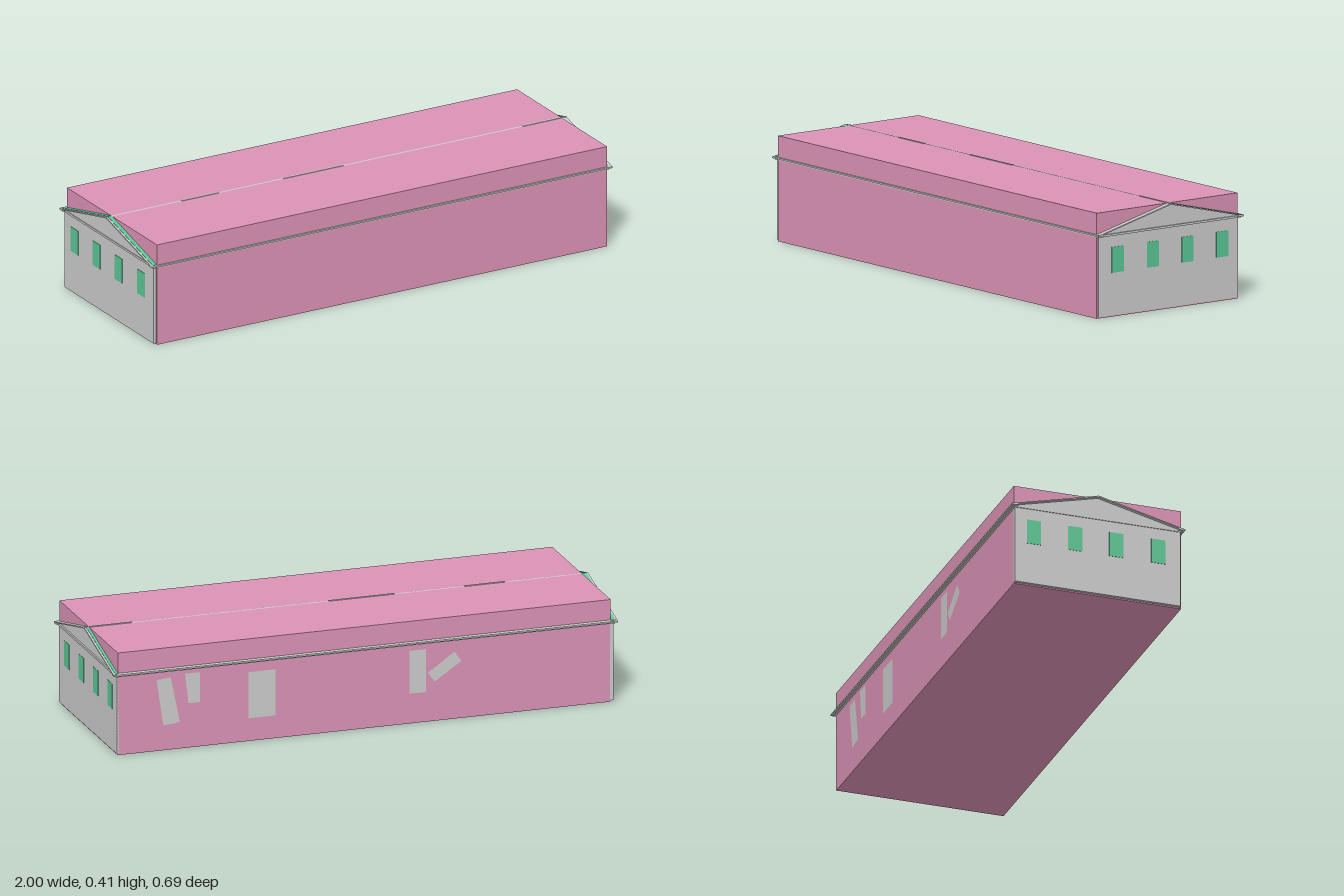
import * as THREE from 'three';

export function createModel() {
  const model = new THREE.Group();
  const grey = new THREE.MeshStandardMaterial({ color: 0xcccccc, side: THREE.DoubleSide });
  const pink = new THREE.MeshStandardMaterial({ color: 0xda92b5 });
  const green = new THREE.MeshStandardMaterial({ color: 0x5bc695, side: THREE.DoubleSide });

  const add = (name, geometry, material) => {
    const mesh = new THREE.Mesh(geometry, material);
    mesh.name = name;
    model.add(mesh);
    return mesh;
  };
  // box given by its limits on each axis
  const box = (name, [x0, x1], [y0, y1], [z0, z1], material) => {
    const mesh = add(name, new THREE.BoxGeometry(x1 - x0, y1 - y0, z1 - z0), material);
    mesh.position.set((x0 + x1) / 2, (y0 + y1) / 2, (z0 + z1) / 2);
    return mesh;
  };
  // outline in (z, y), extruded along x
  const profile = (name, points, x0, x1, material) => {
    const shape = new THREE.Shape(points.map(([z, y]) => new THREE.Vector2(-z, y)));
    const geometry = new THREE.ExtrudeGeometry(shape, { depth: x1 - x0, bevelEnabled: false });
    geometry.rotateY(Math.PI / 2).translate(x0, 0, 0);
    return add(name, geometry, material);
  };

  // solid block filling the building
  box('bodyBlock', [-0.975, 0.98], [0, 0.403], [-0.33, 0.337], pink);

  // end walls with gables, each with four windows
  const wall = [[-0.33, 0.005], [0.331, 0.005], [0.331, 0.318], [0, 0.398], [-0.33, 0.318]];
  for (const [x0, x1, face] of [[0.975, 0.984, 0.9845], [-0.987, -0.972, -0.9875]]) {
    profile('endWall', wall, x0, x1, grey);
    for (const z of [0.241, 0.074, -0.09, -0.254]) {
      box('endWindow', [face - 0.001, face + 0.001], [0.168, 0.266], [z - 0.028, z + 0.028], green);
    }
  }

  // thin pitched roof, trimmed in green along the gable ends
  for (const side of [1, -1]) {
    const slope = [[0, 0.404], [side * 0.345, 0.319], [side * 0.345, 0.315], [0, 0.399]];
    profile('roofSlope', slope, -1, 1, grey);
    const trim = [[side * 0.002, 0.405], [side * 0.335, 0.323], [side * 0.335, 0.321], [side * 0.002, 0.403]];
    profile('roofTrim', trim, -0.992, -0.976, green);
    if (side < 0) profile('roofTrim', trim, 0.981, 0.992, green);
    // eave running the full length
    const z = side > 0 ? [0.32, 0.345] : [-0.345, -0.32];
    box('eave', [-1, 1], [0.315, 0.321], z, grey);
  }
  box('cornice', [-0.99, 0.99], [0.31, 0.318], [-0.338, 0.338], grey);

  // exposed ridge pieces
  for (const x of [[-0.67, -0.51], [-0.23, 0.03], [0.81, 1]]) {
    box('ridgeCap', x, [0.4, 0.405], [-0.004, 0.004], grey);
  }

  // flat panels on the back wall, corners in (x, y)
  const panels = [
    [[0.827, 0.28], [0.77, 0.285], [0.735, 0.105], [0.8, 0.098]],
    [[0.714, 0.293], [0.655, 0.293], [0.655, 0.175], [0.7, 0.175]],
    [[0.462, 0.272], [0.355, 0.272], [0.355, 0.09], [0.462, 0.09]],
    [[-0.176, 0.287], [-0.243, 0.287], [-0.243, 0.118], [-0.176, 0.118]],
    [[-0.25, 0.193], [-0.356, 0.265], [-0.382, 0.225], [-0.276, 0.155]],
  ];
  for (const corners of panels) {
    const shape = new THREE.Shape(corners.map(([x, y]) => new THREE.Vector2(-x, y)));
    const panel = add('backPanel', new THREE.ShapeGeometry(shape), grey);
    panel.rotation.y = Math.PI;
    panel.position.z = -0.3315;
  }
  return model;
}
